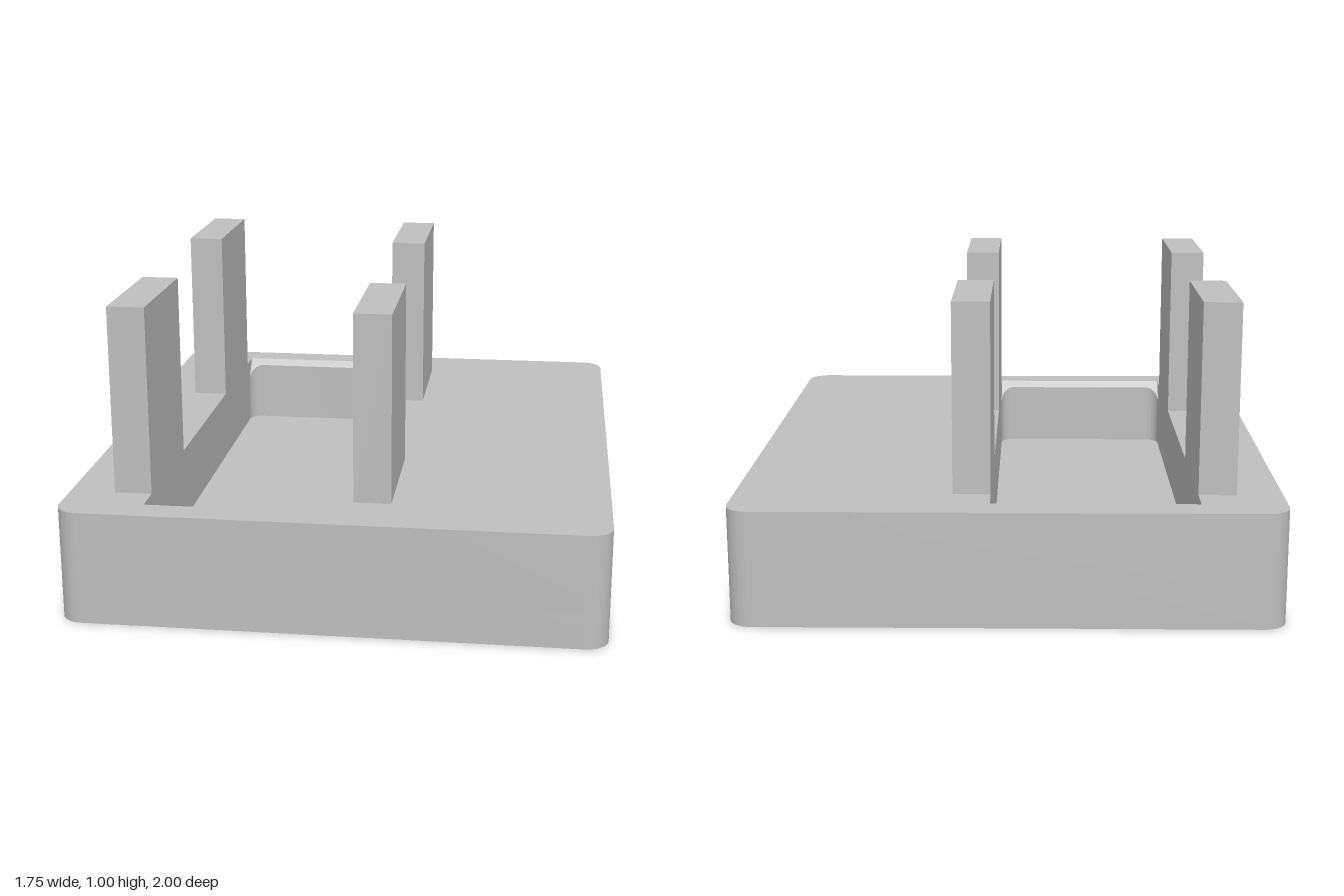
import * as THREE from 'three';
import { toCreasedNormals } from 'three/addons/utils/BufferGeometryUtils.js';

const HALF_X = 0.875, HALF_Z = 1, TOP = 0.375, FLOOR = 0.125;
const SLOT_X = -0.275, SLOT_HALF = 0.33, SLOT_END = 0.9, SLOT_WALL = 0.877;

const bodyGrey = new THREE.MeshStandardMaterial({ color: 0xbfbfbf });
bodyGrey.name = 'bodyGrey';

// Rounded rectangle centred on the origin
function roundedRect(hx, hy, r) {
  const s = new THREE.Shape();
  s.absarc(hx - r, hy - r, r, 0, Math.PI / 2);
  s.absarc(-hx + r, hy - r, r, Math.PI / 2, Math.PI);
  s.absarc(-hx + r, -hy + r, r, Math.PI, Math.PI * 1.5);
  s.absarc(hx - r, -hy + r, r, Math.PI * 1.5, Math.PI * 2);
  s.closePath();
  return s;
}

// Extrude a plan outline upwards (shape y becomes -z)
function raise(shape, height) {
  return new THREE.ExtrudeGeometry(shape, { depth: height, bevelEnabled: false, curveSegments: 10 })
    .rotateX(-Math.PI / 2);
}

function addMesh(parent, name, geometry, x = 0, y = 0, z = 0) {
  const mesh = new THREE.Mesh(geometry, bodyGrey);
  mesh.name = name;
  mesh.position.set(x, y, z);
  parent.add(mesh);
  return mesh;
}

// End wall of the slot: rounded inner corners, top sloping down at 45 degrees
function slotEndGeometry() {
  const r = 0.05, w = SLOT_HALF, y = SLOT_WALL;
  const s = new THREE.Shape();
  s.moveTo(w, y - r);
  s.lineTo(w, SLOT_END);
  s.lineTo(-w, SLOT_END);
  s.lineTo(-w, y - r);
  s.absarc(-w + r, y - r, r, Math.PI, Math.PI / 2, true);
  s.absarc(w - r, y - r, r, Math.PI / 2, 0, true);
  const height = TOP - FLOOR;
  const g = raise(s, height);
  const p = g.attributes.position;
  for (let i = 0; i < p.count; i++) {
    if (p.getY(i) > height / 2) p.setY(i, height - (SLOT_END - Math.abs(p.getZ(i))));
  }
  g.computeVertexNormals();
  return toCreasedNormals(g, 0.5);
}

export function createModel() {
  const model = new THREE.Group();
  model.name = 'slottedBase';

  // Base: solid floor slab and a frame around the slot
  const outline = roundedRect(HALF_X, HALF_Z, 0.075);
  addMesh(model, 'baseFloor', toCreasedNormals(raise(outline, FLOOR), 0.5));

  const frame = roundedRect(HALF_X, HALF_Z, 0.075);
  const hole = new THREE.Path();
  hole.moveTo(SLOT_X - SLOT_HALF, -SLOT_END);
  hole.lineTo(SLOT_X - SLOT_HALF, SLOT_END);
  hole.lineTo(SLOT_X + SLOT_HALF, SLOT_END);
  hole.lineTo(SLOT_X + SLOT_HALF, -SLOT_END);
  hole.closePath();
  frame.holes.push(hole);
  addMesh(model, 'baseFrame', toCreasedNormals(raise(frame, TOP - FLOOR), 0.5), 0, FLOOR, 0);

  // Chamfered slot ends
  const endGeometry = slotEndGeometry();
  addMesh(model, 'slotEndBack', endGeometry, SLOT_X, FLOOR, 0);
  addMesh(model, 'slotEndFront', endGeometry, SLOT_X, FLOOR, 0).rotation.y = Math.PI;

  // Four upright posts flush with the slot walls
  const postHeight = 0.62, postWidth = 0.122;
  const post = new THREE.BoxGeometry(postWidth, postHeight, 0.445);
  for (const sx of [-1, 1]) {
    for (const sz of [-1, 1]) {
      const name = 'post' + (sz > 0 ? 'Front' : 'Back') + (sx > 0 ? 'Left' : 'Right');
      addMesh(model, name, post, SLOT_X + sx * (SLOT_HALF + postWidth / 2), TOP + postHeight / 2, sz * 0.578);
    }
  }
  return model;
}
